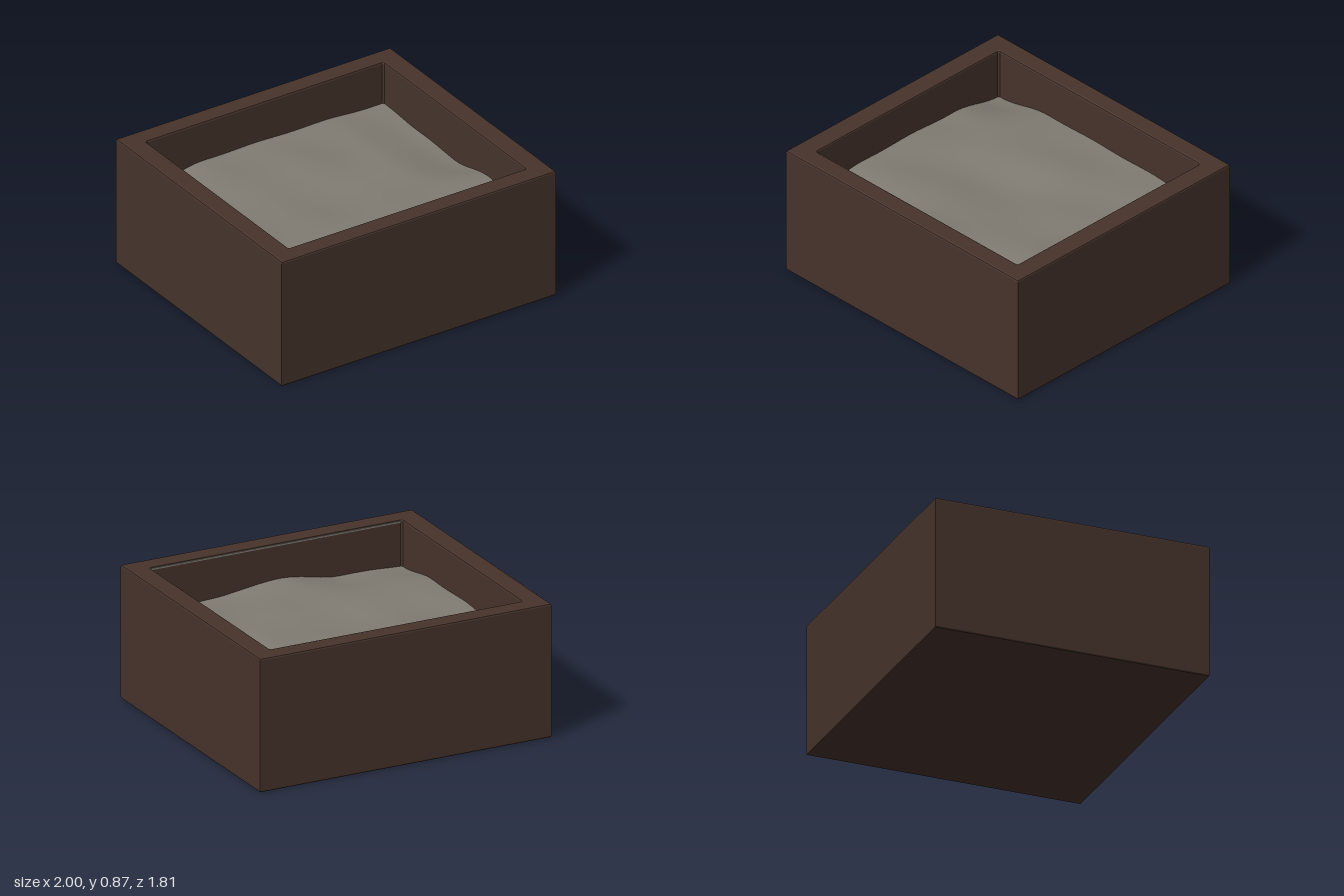
import * as THREE from 'three';

const H = 0.87, BEVEL = 0.012, INX = 0.866, INZ = 0.778;

// Plain rectangle, corners cut by c (0 for sharp corners)
function rectPoints(hx, hz, c) {
  const corners = [[-1, -1], [1, -1], [1, 1], [-1, 1]];
  return corners.flatMap(([sx, sz], i) => {
    const x = sx * hx, z = sz * hz;
    if (c === 0) return [new THREE.Vector2(x, z)];
    const alongX = new THREE.Vector2(x - sx * c, z);
    const alongZ = new THREE.Vector2(x, z - sz * c);
    return i % 2 === 0 ? [alongZ, alongX] : [alongX, alongZ];
  });
}

// Soil heights on a coarse grid, rows from back to front, columns from -x to +x
const heights = [
  [0.54, 0.60, 0.60, 0.60, 0.58],
  [0.60, 0.62, 0.62, 0.60, 0.57],
  [0.61, 0.60, 0.59, 0.61, 0.56],
  [0.61, 0.62, 0.62, 0.62, 0.62],
  [0.57, 0.58, 0.64, 0.59, 0.56],
];

function soilHeight(x, z) {
  const u = THREE.MathUtils.clamp((x / INX + 1) * 2, 0, 3.999);
  const v = THREE.MathUtils.clamp((z / INZ + 1) * 2, 0, 3.999);
  const i = Math.floor(u), j = Math.floor(v);
  const s = THREE.MathUtils.smoothstep(u - i, 0, 1);
  const t = THREE.MathUtils.smoothstep(v - j, 0, 1);
  const back = THREE.MathUtils.lerp(heights[j][i], heights[j][i + 1], s);
  const front = THREE.MathUtils.lerp(heights[j + 1][i], heights[j + 1][i + 1], s);
  const ripple = 0.005 * Math.sin(9 * x + 5 * z) * Math.cos(8 * z - 4 * x);
  return THREE.MathUtils.lerp(back, front, t) + ripple;
}

export function createModel() {
  const model = new THREE.Group();
  model.name = 'planterBox';
  const brown = new THREE.MeshStandardMaterial({ color: 0x46332b });
  brown.name = 'dark brown';
  const grey = new THREE.MeshStandardMaterial({ color: 0x807b72 });
  grey.name = 'warm grey';

  function add(name, geometry, material, y = 0, z = 0) {
    const mesh = new THREE.Mesh(geometry, material);
    mesh.name = name;
    mesh.position.set(0, y, z);
    model.add(mesh);
  }

  // Four walls as one bevelled frame
  const outline = new THREE.Shape(rectPoints(1, 0.904, 0));
  outline.holes.push(new THREE.Path(rectPoints(INX, INZ, 0.01)));
  const walls = new THREE.ExtrudeGeometry(outline, {
    depth: H - 2 * BEVEL, bevelEnabled: true, bevelThickness: BEVEL,
    bevelSize: BEVEL, bevelOffset: -BEVEL, bevelSegments: 2,
  });
  walls.rotateX(-Math.PI / 2);
  add('walls', walls, brown, BEVEL);

  // Closed underside
  add('floor', new THREE.BoxGeometry(1.9, 0.03, 1.7), brown, 0.015);

  // Uneven soil bed
  const soil = new THREE.PlaneGeometry(2 * INX + 0.01, 2 * INZ + 0.01, 40, 36);
  soil.rotateX(-Math.PI / 2);
  const p = soil.attributes.position;
  for (let i = 0; i < p.count; i++) p.setY(i, soilHeight(p.getX(i), p.getZ(i)));
  soil.computeVertexNormals();
  add('soil', soil, grey);

  // Thin liner edge along the inside of the front wall
  add('linerEdge', new THREE.BoxGeometry(2 * INX, 0.01, 0.008), grey, 0.856, INZ);

  return model;
}
